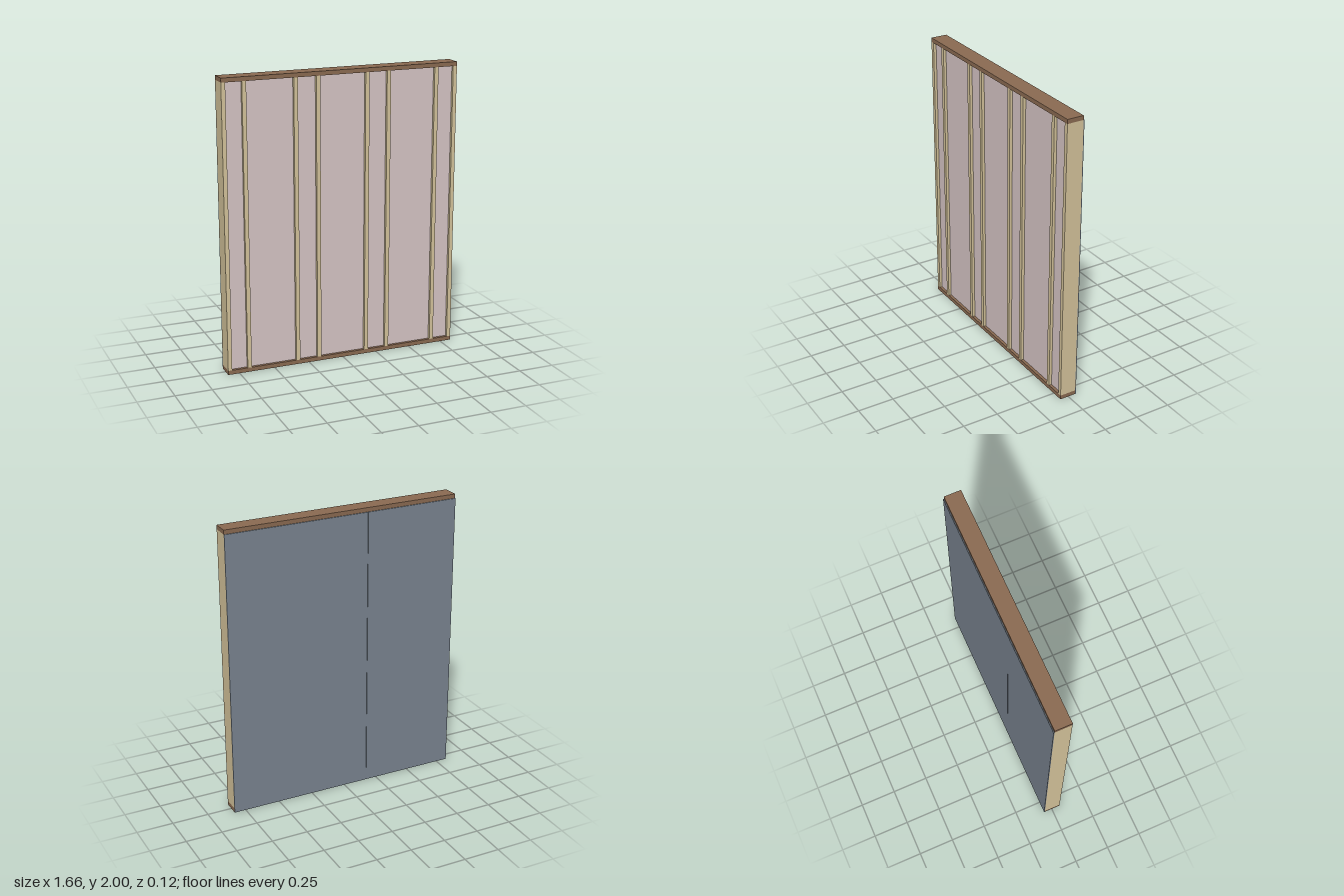
import * as THREE from 'three';

const W = 1.66, H = 2, PLATE = 0.029, STUD = 0.028;
const FRONT = 0.061, BACK = -0.055, SKIN = -0.061, FILL = 0.041;

const paint = (color) => new THREE.MeshStandardMaterial({ color, flatShading: true });

export function createModel() {
  const wall = new THREE.Group();
  wall.name = 'framedWall';
  const plateMat = paint(0x8b6b52), studMat = paint(0xd6c59c);
  const fillMat = paint(0xd8c6c6), skinMat = paint(0x7a8591);

  // Box given by its two extreme corners
  const box = (name, mat, x0, x1, y0, y1, z0, z1) => {
    const mesh = new THREE.Mesh(new THREE.BoxGeometry(x1 - x0, y1 - y0, z1 - z0), mat);
    mesh.position.set((x0 + x1) / 2, (y0 + y1) / 2, (z0 + z1) / 2);
    mesh.name = name;
    wall.add(mesh);
  };

  // Horizontal plates
  box('bottomPlate', plateMat, -W / 2, W / 2, 0, PLATE, BACK, FRONT);
  box('topPlate', plateMat, -W / 2, W / 2, H - PLATE, H, BACK, FRONT);

  // Studs, mirrored about the middle
  const half = [0.174, 0.329, 0.678, W / 2 - STUD / 2];
  const studs = [...half.map((x) => -x).reverse(), ...half];
  studs.forEach((x, i) =>
    box(`stud${i + 1}`, studMat, x - STUD / 2, x + STUD / 2, PLATE, H - PLATE, BACK, FRONT));

  // Insulation between neighbouring studs, set back from the front
  for (let i = 0; i < studs.length - 1; i++) {
    box(`insulation${i + 1}`, fillMat, studs[i] + STUD / 2, studs[i + 1] - STUD / 2,
      PLATE, H - PLATE, BACK, FILL);
  }

  // Two sheathing panels on the back, meeting over a stud
  const seam = -0.172, gap = 0.0015;
  box('wideSheathing', skinMat, seam + gap, W / 2, 0, H - PLATE, SKIN, BACK);
  box('narrowSheathing', skinMat, -W / 2, seam - gap, 0, H - PLATE, SKIN, BACK);

  return wall;
}
